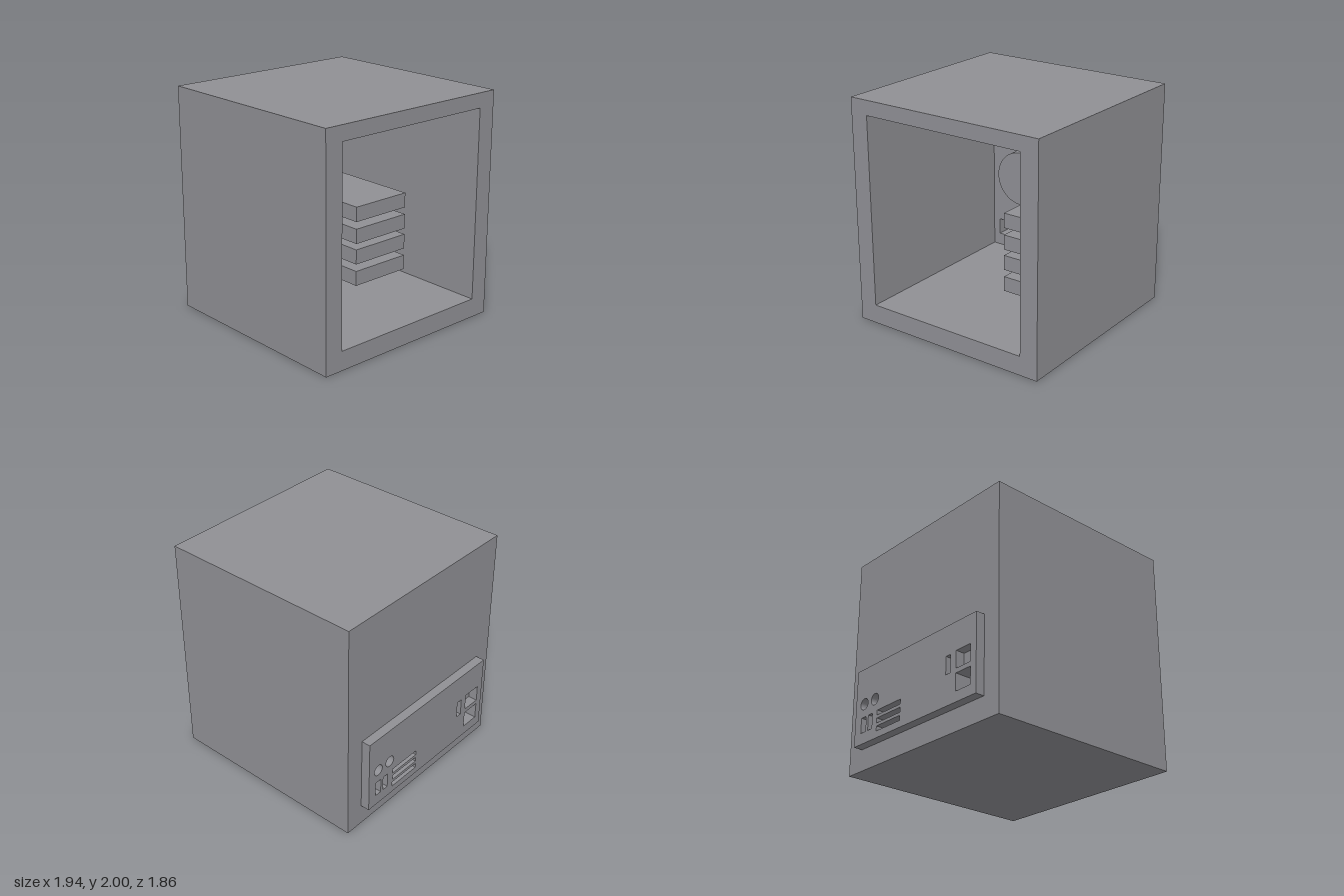
import * as THREE from 'three';

const grey = new THREE.MeshStandardMaterial({ color: 0x8f8f94 });
grey.name = 'caseGrey';

// Rectangle in the z-y plane, from its limits
function rect(z0, z1, y0, y1, Type = THREE.Shape) {
  return new Type([[z0, y0], [z1, y0], [z1, y1], [z0, y1]].map(([z, y]) => new THREE.Vector2(z, y)));
}

function disc(z, y, r) {
  const path = new THREE.Path();
  path.absarc(z, y, r, 0, Math.PI * 2, true);
  return path;
}

// Extrudes a z-y outline with holes from x0 to x1
function slab(name, outline, holes, x0, x1) {
  outline.holes.push(...holes);
  const geo = new THREE.ExtrudeGeometry(outline, { depth: x1 - x0, bevelEnabled: false, curveSegments: 24 });
  geo.rotateY(-Math.PI / 2).translate(x1, 0, 0);
  const mesh = new THREE.Mesh(geo, grey);
  mesh.name = name;
  return mesh;
}

export function createModel() {
  const model = new THREE.Group();
  model.name = 'computerCase';
  const hole = (z0, z1, y0, y1) => rect(z0, z1, y0, y1, THREE.Path);
  const socket = () => hole(0.53, 0.70, 0.28, 0.43);
  const outer = -0.89, inner = -0.73;

  // Open shell and the wall closing its far side
  model.add(slab('caseShell', rect(-0.93, 0.93, 0, 2), [hole(-0.765, 0.765, 0.17, 1.87)], outer, 0.97));
  model.add(slab('backWall', rect(-0.765, 0.765, 0.17, 1.87), [socket()], outer, inner));

  // Connector panel with its sockets and slots
  const ports = [
    socket(),
    hole(0.53, 0.70, 0.47, 0.62),
    hole(0.41, 0.465, 0.455, 0.61),
    hole(-0.68, -0.615, 0.29, 0.425),
    hole(-0.585, -0.53, 0.29, 0.425),
    disc(-0.65, 0.543, 0.05),
    disc(-0.505, 0.543, 0.05),
  ];
  for (let i = 0; i < 3; i++) ports.push(hole(-0.465, -0.155, 0.25 + i * 0.07, 0.293 + i * 0.07));
  model.add(slab('connectorPanel', rect(-0.765, 0.765, 0.19, 0.87), ports, -0.97, outer));

  // Expansion cards reaching out from the wall
  [0.26, 0.46, 0.65, 0.85].forEach((y, i) => {
    model.add(slab('expansionCard' + (i + 1), rect(-0.66, -0.07, y, y + 0.135), [], inner, 0.24));
  });

  // Round fans on the inside of the wall
  [0.945, 1.505].forEach((y, i) => {
    const geo = new THREE.CylinderGeometry(0.253, 0.253, 0.13, 64).rotateZ(Math.PI / 2);
    const fan = new THREE.Mesh(geo, grey);
    fan.name = 'fan' + (i + 1);
    fan.position.set(inner + 0.065, y, 0.365);
    model.add(fan);
  });

  return model;
}
